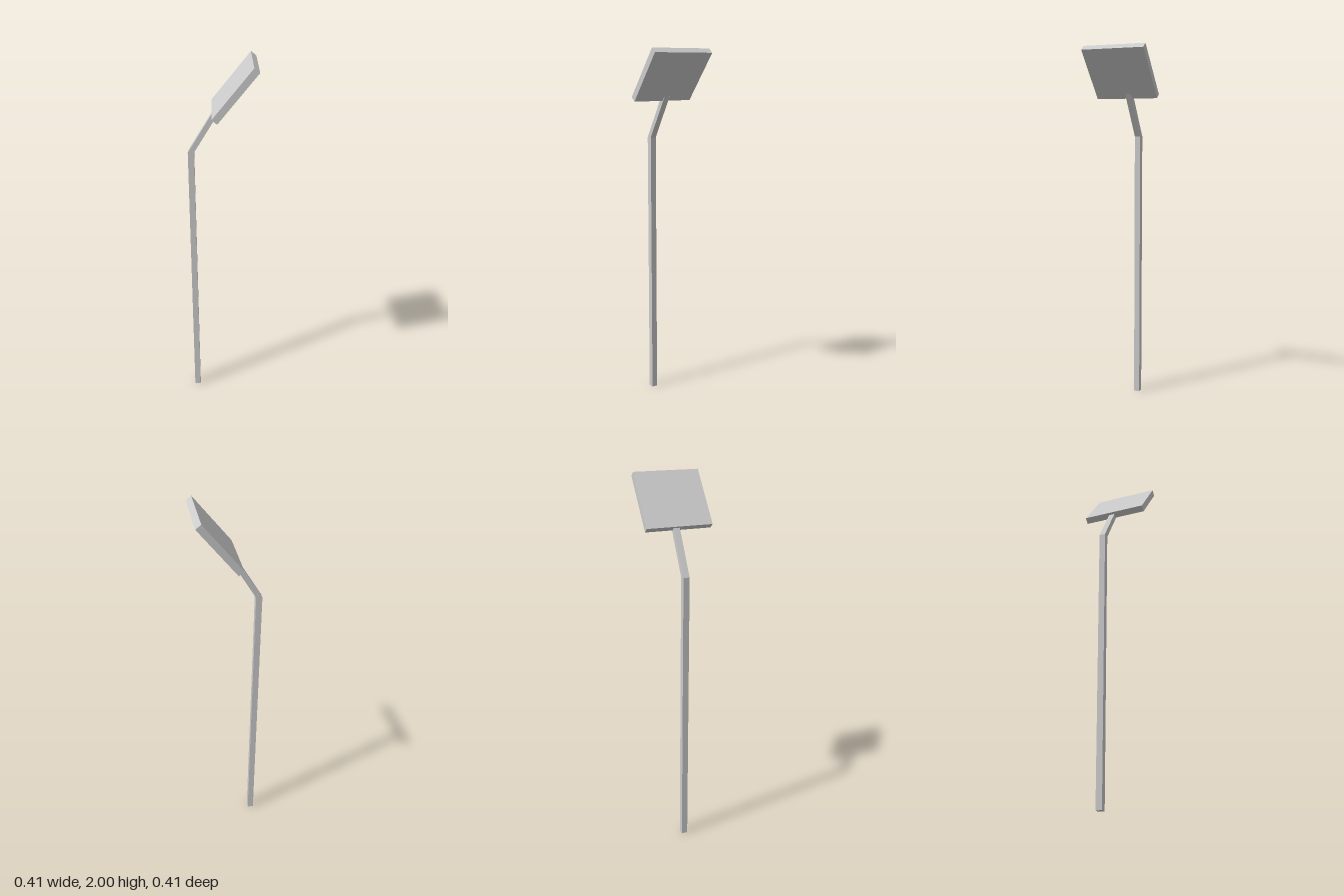
import * as THREE from 'three';

export function createModel() {
  const model = new THREE.Group();
  model.name = 'poleWithPanel';
  const grey = new THREE.MeshStandardMaterial({ color: 0xcccccc });
  grey.name = 'lightGrey';

  // Everything faces diagonally, towards -x +z
  const assembly = new THREE.Group();
  assembly.name = 'assembly';
  assembly.rotation.y = -Math.PI / 4;
  model.add(assembly);

  // Square bar: side outline given as [z, y] points, extruded across its width
  const width = 0.033, front = 0.243, back = 0.21, bend = 1.52;
  function bar(name, points) {
    const shape = new THREE.Shape(points.map(([z, y]) => new THREE.Vector2(z, y)));
    const geometry = new THREE.ExtrudeGeometry(shape, { depth: width, bevelEnabled: false });
    geometry.translate(0, 0, -width / 2);
    geometry.rotateY(-Math.PI / 2);
    const mesh = new THREE.Mesh(geometry, grey);
    mesh.name = name;
    mesh.position.x = -0.015;
    assembly.add(mesh);
  }

  // Upright pole and the arm leaning back from its top
  bar('pole', [[front, 0], [front, bend], [back, bend], [back, 0]]);
  const lean = 0.143, armTop = 1.752;
  bar('arm', [[front, bend], [front - lean, armTop], [back - lean, armTop], [back, bend]]);

  // Tilted flat panel
  const panel = new THREE.Mesh(new THREE.BoxGeometry(0.354, 0.323, 0.036), grey);
  panel.name = 'panel';
  panel.position.y = 1.864;
  panel.rotation.x = -0.686;
  assembly.add(panel);

  return model;
}
